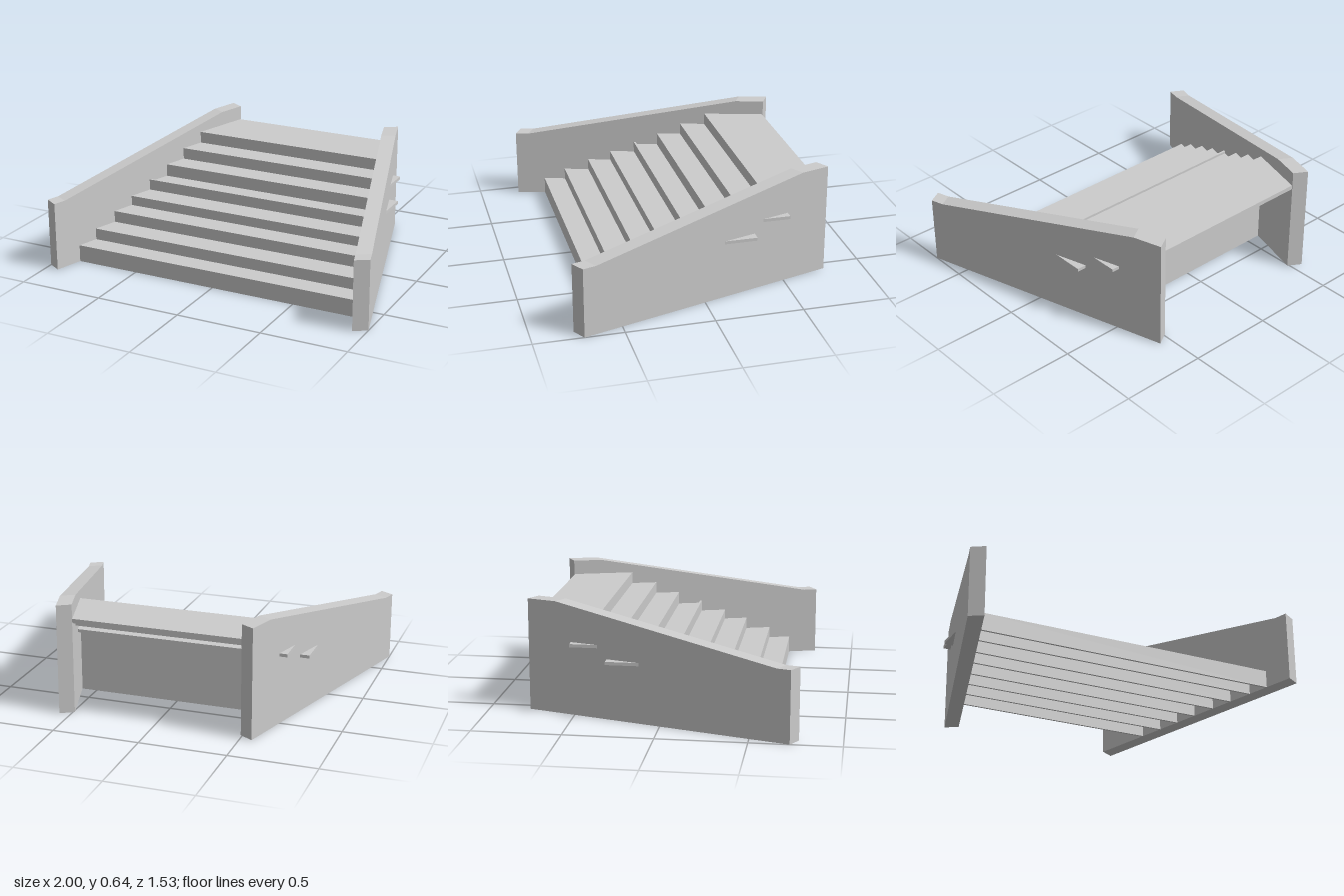
import * as THREE from 'three';

const material = new THREE.MeshStandardMaterial({ color: 0xcccccc, flatShading: true });

// Half width between the flared walls at depth z, plus a small embed
const halfWidth = (z) => 0.925 - (0.765 - z) * 0.292 + 0.02;

// Flat slab from z0 (front) to z1 (back), y0 to y1, with half widths w0 and w1
function slab(name, z0, z1, y0, y1, w0 = halfWidth(z0), w1 = halfWidth(z1)) {
  const shape = new THREE.Shape([
    new THREE.Vector2(-w0, -z0), new THREE.Vector2(w0, -z0),
    new THREE.Vector2(w1, -z1), new THREE.Vector2(-w1, -z1),
  ]);
  const geo = new THREE.ExtrudeGeometry(shape, { depth: y1 - y0, bevelEnabled: false });
  geo.rotateX(-Math.PI / 2).translate(0, y0, 0);
  const mesh = new THREE.Mesh(geo, material);
  mesh.name = name;
  return mesh;
}

// Side wall: profile along its length, sheared into the flared plan
function wall(name, side) {
  const shape = new THREE.Shape([
    [0, 0], [1, 0], [1, 0.64], [0.89, 0.64], [0.05, 0.405], [0, 0.405],
  ].map(([t, y]) => new THREE.Vector2(t, y)));
  const geo = new THREE.ExtrudeGeometry(shape, { depth: 1, bevelEnabled: false });
  const p = geo.attributes.position;
  for (let i = 0; i < p.count; i++) {
    const t = p.getX(i);
    const s = side > 0 ? p.getZ(i) : 1 - p.getZ(i);
    p.setXYZ(i, side * (0.925 + 0.075 * s - 0.435 * t), p.getY(i), 0.765 - 0.045 * s - 1.49 * t);
  }
  geo.computeVertexNormals();
  const mesh = new THREE.Mesh(geo, material);
  mesh.name = name;
  return mesh;
}

export function createModel() {
  const group = new THREE.Group();
  group.name = 'staircase';
  group.add(wall('leftWall', 1), wall('rightWall', -1));

  // Each step: riser front z, top height, tread back z, optional tread top and square half width
  const steps = [
    { z: 0.6, top: 0.1, back: 0.47 },
    { z: 0.475, top: 0.167, back: 0.325 },
    { z: 0.33, top: 0.235, back: 0.19 },
    { z: 0.195, top: 0.293, back: 0.045 },
    { z: 0.05, top: 0.358, back: -0.305, tread: 0.344, half: 0.755 },
    { z: -0.09, top: 0.418, back: -0.515, half: 0.685 },
    { z: -0.23, top: 0.486, back: -0.59 },
    { z: -0.375, top: 0.555, back: -0.72, thick: 0.025 },
  ];
  steps.forEach(({ z, top, back, tread = top, half, thick = 0.018 }, i) => {
    // Risers reach the ground; treads run back from them, two poking through the walls
    group.add(slab(`riser${i + 1}`, z, z - 0.012, 0, top));
    const front = z - 0.012;
    group.add(slab(`tread${i + 1}`, front, back, tread - thick, tread,
      half ?? halfWidth(front), half ?? halfWidth(back)));
  });
  return group;
}
